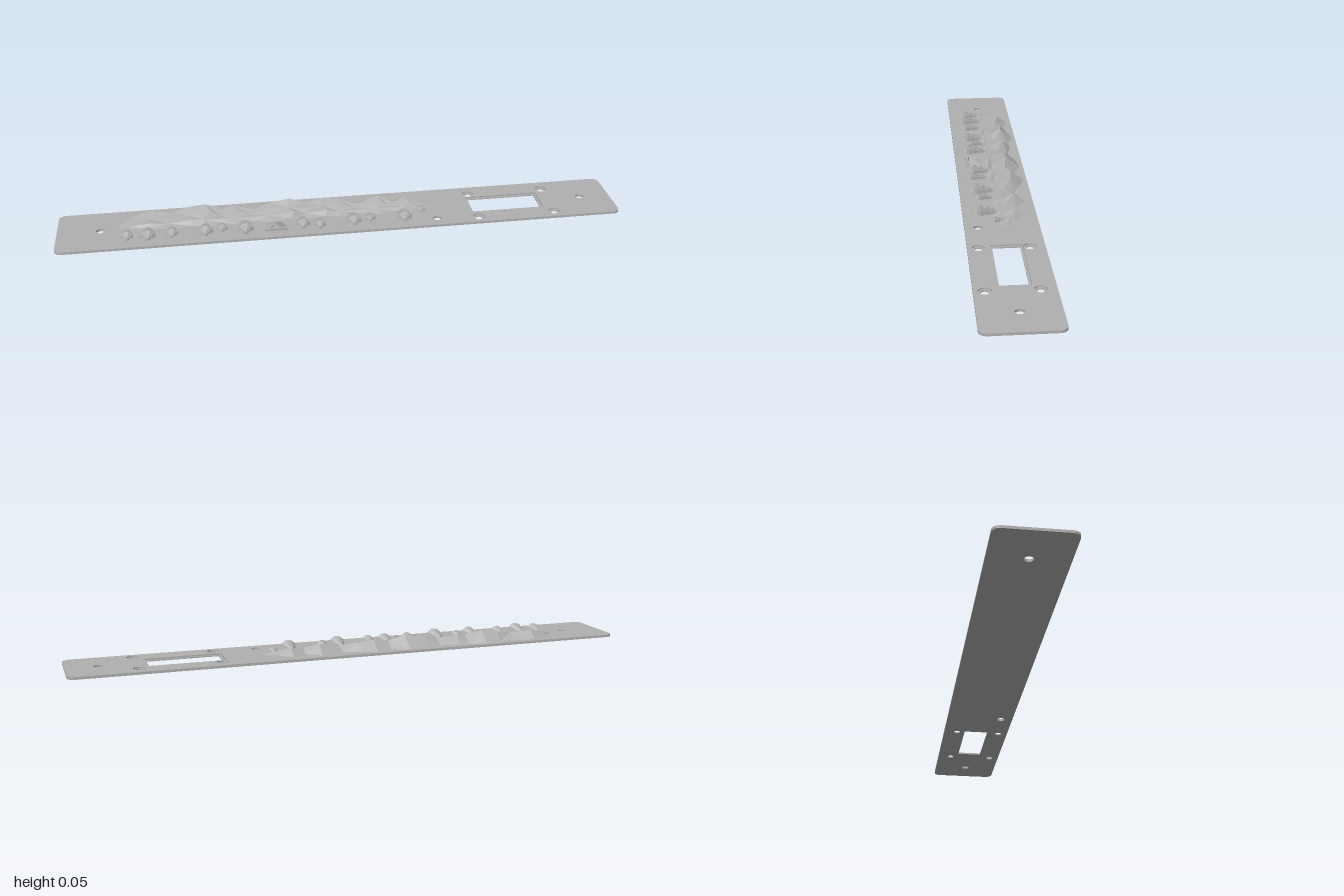
import * as THREE from 'three';

const T = 0.009; // plate thickness
const grey = new THREE.MeshStandardMaterial({ color: 0xb0b0b0, flatShading: true, side: THREE.DoubleSide });
grey.name = 'plain grey';

function addMesh(parent, name, geometry) {
  const mesh = new THREE.Mesh(geometry, grey);
  mesh.name = name;
  parent.add(mesh);
  return mesh;
}

// Rounded panel outline; shape y is -z
function panelShape(boltRadius, inset) {
  const w = 1, d = 0.125, r = 0.025;
  const s = new THREE.Shape();
  s.moveTo(-w + r, -d);
  s.lineTo(w - r, -d);
  s.absarc(w - r, -d + r, r, -Math.PI / 2, 0);
  s.absarc(w - r, d - r, r, 0, Math.PI / 2);
  s.absarc(-w + r, d - r, r, Math.PI / 2, Math.PI);
  s.absarc(-w + r, -d + r, r, Math.PI, Math.PI * 1.5);
  const hole = (x, z, rad) => s.holes.push(new THREE.Path().absarc(x, -z, rad, 0, Math.PI * 2, true));
  for (const [x, z] of [[-0.85, 0], [0.89, 0], [0.335, 0.08]]) hole(x, z, 0.015);
  for (const x of [0.485, 0.765]) for (const z of [-0.075, 0.09]) hole(x, z, boltRadius);
  const [x0, x1, h] = [0.475 - inset, 0.727 + inset, 0.045 + inset];
  s.holes.push(new THREE.Path([[x0, -h], [x0, h], [x1, h], [x1, -h]].map(p => new THREE.Vector2(...p))));
  return s;
}

function layer(shape, y, depth) {
  const g = new THREE.ExtrudeGeometry(shape, { depth, bevelEnabled: false, curveSegments: 10 });
  return g.rotateX(-Math.PI / 2).translate(0, y, 0);
}

// Strip surface between rows of equally many points
function grid(rows) {
  const n = rows[0].length, index = [];
  for (let i = 0; i < rows.length - 1; i++) {
    for (let j = 0; j < n - 1; j++) {
      const a = i * n + j, b = a + 1, c = a + n, d = c + 1;
      if ((i + j) % 2) index.push(a, b, c, b, d, c);
      else index.push(a, b, d, a, d, c);
    }
  }
  const g = new THREE.BufferGeometry();
  g.setAttribute('position', new THREE.Float32BufferAttribute(rows.flat(2), 3));
  g.setIndex(index);
  g.computeVertexNormals();
  return g;
}

// Mountain range: one cross-section per column, back to front
function mountains() {
  // x, back z, crest z, crest height
  const columns = [
    [-0.79, -0.03, -0.025, 0.01], [-0.74, -0.07, -0.05, 0.025], [-0.68, -0.105, -0.07, 0.036],
    [-0.6, -0.09, -0.055, 0.03], [-0.54, -0.1, -0.07, 0.042], [-0.48, -0.115, -0.066, 0.05],
    [-0.42, -0.09, -0.05, 0.032], [-0.38, -0.095, -0.065, 0.038], [-0.31, -0.08, -0.045, 0.028],
    [-0.25, -0.1, -0.06, 0.042], [-0.18, -0.112, -0.06, 0.053], [-0.12, -0.085, -0.05, 0.034],
    [-0.06, -0.112, -0.066, 0.043], [0.0, -0.095, -0.06, 0.036], [0.06, -0.065, -0.035, 0.026],
    [0.14, -0.098, -0.058, 0.041], [0.19, -0.06, -0.03, 0.026], [0.24, -0.09, -0.055, 0.032],
    [0.29, -0.045, -0.025, 0.018], [0.34, -0.025, -0.02, 0.01],
  ];
  const rows = columns.map(([x, back, zc, h], i) => {
    const odd = i % 2 ? 1 : -1, end = i === 0 || i === columns.length - 1;
    const front = end ? -0.005 : 0.015 + 0.007 * odd;
    const rise = h - T;
    const dx = end ? 0 : 0.012 * odd;
    return [
      [x, T, back],
      [x, h, zc],
      [x + dx, T + rise * (0.66 + 0.1 * odd), zc * 0.52],
      [x - dx, T + rise * (0.42 - 0.08 * odd), -0.005],
      [x, T, front],
    ];
  });
  return grid(rows);
}

// Half fir lying on the panel, tip towards the back; radius and length are 1
const firProfile = [
  [0, 0], [0.25, 0], [0.25, 0.13], [1, 0.26], [0.42, 0.5], [0.8, 0.52],
  [0.32, 0.73], [0.56, 0.75], [0, 1],
].map(p => new THREE.Vector2(...p));

function fir(parent, x, zTip, zFoot, radius) {
  const length = zFoot - zTip;
  const points = firProfile.map(p => new THREE.Vector2(p.x * radius, p.y * length));
  const g = new THREE.LatheGeometry(points, 5, -Math.PI / 2, Math.PI);
  g.rotateX(-Math.PI / 2);
  addMesh(parent, 'fir', g).position.set(x, T, zFoot);
}

// Tent in low relief with two flaps and a dark-sided ridge
function tent(parent) {
  const group = new THREE.Group();
  group.name = 'tent';
  group.position.set(-0.24, T, 0);
  const section = (z, w, h) => [[-w, 0, z], [-w * 0.45, h * 0.55, z], [0, h, z], [w * 0.45, h * 0.55, z], [w, 0, z]];
  addMesh(group, 'tentRoof', grid([section(0.03, 0.025, 0.004), section(0.05, 0.034, 0.018), section(0.072, 0.042, 0.023)]));
  for (const side of [-1, 1]) {
    const flap = new THREE.Shape([[0, 0.022], [side * 0.04, 0], [side * 0.014, 0]].map(p => new THREE.Vector2(...p)));
    const g = new THREE.ExtrudeGeometry(flap, { depth: 0.005, bevelEnabled: false });
    addMesh(group, 'tentFlap', g).position.z = 0.07;
  }
  const sill = new THREE.BoxGeometry(0.08, 0.008, 0.008);
  addMesh(group, 'tentSill', sill).position.set(0, 0.004, 0.081);
  parent.add(group);
}

export function createModel() {
  const model = new THREE.Group();
  model.name = 'landscapePanel';

  // Panel in two layers, giving stepped bolt holes and a stepped window
  const panel = new THREE.Group();
  panel.name = 'panel';
  addMesh(panel, 'panelBase', layer(panelShape(0.013, 0), 0, 0.004));
  addMesh(panel, 'panelTop', layer(panelShape(0.021, 0.008), 0.004, T - 0.004));
  model.add(panel);

  addMesh(model, 'mountains', mountains());

  // Row of firs: x, tip z, foot z, radius
  const forest = new THREE.Group();
  forest.name = 'forest';
  for (const tree of [
    [-0.757, 0, 0.078, 0.024], [-0.685, 0, 0.088, 0.029], [-0.603, 0.005, 0.08, 0.024],
    [-0.486, 0, 0.086, 0.028], [-0.428, 0.005, 0.065, 0.021], [-0.347, -0.003, 0.092, 0.03],
    [-0.144, -0.003, 0.083, 0.027], [-0.085, 0.015, 0.092, 0.022], [0.037, -0.003, 0.088, 0.029],
    [0.097, 0.01, 0.07, 0.021], [0.22, 0, 0.086, 0.028], [0.288, -0.018, 0.03, 0.016],
  ]) fir(forest, ...tree);
  model.add(forest);

  tent(model);
  return model;
}
